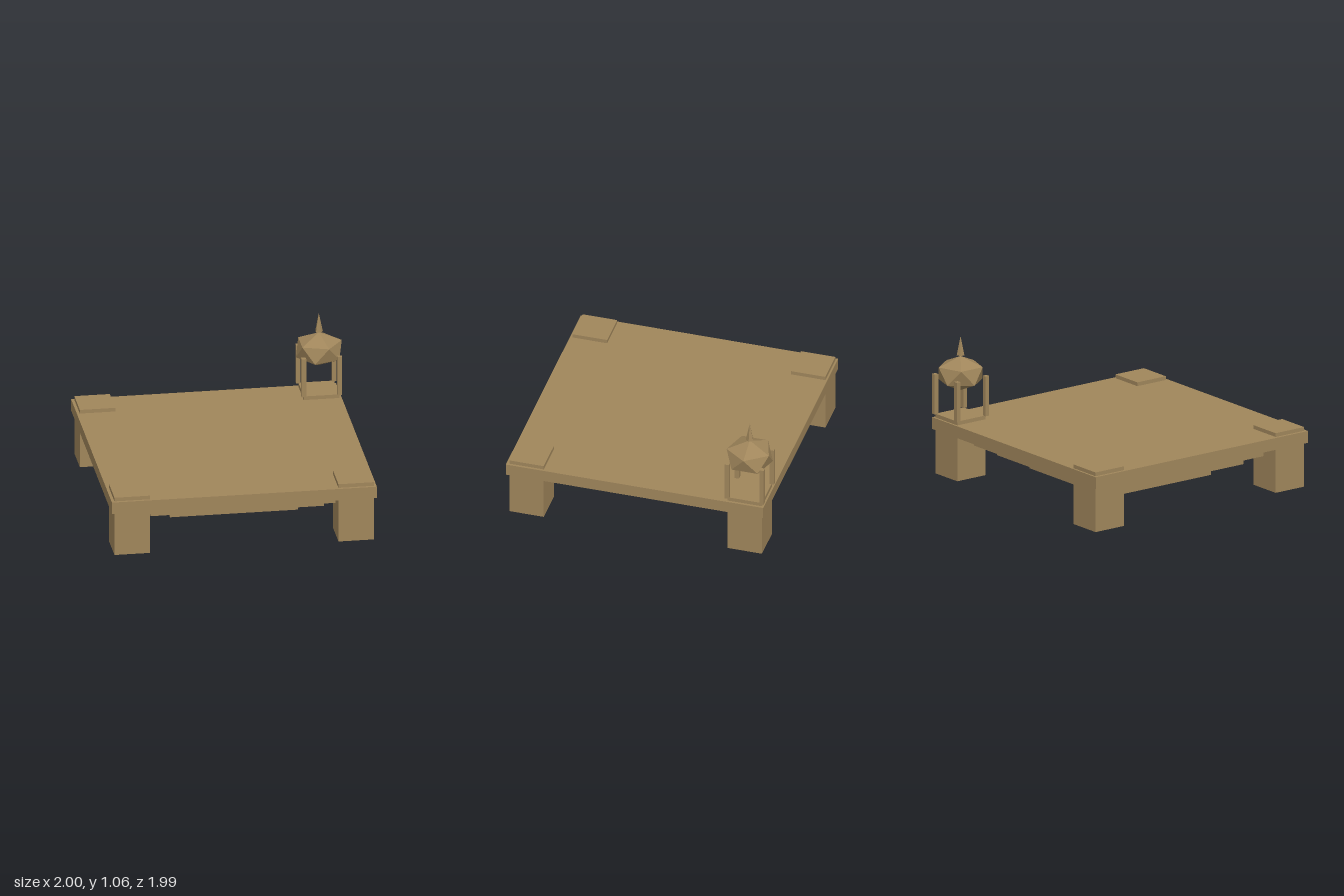
import * as THREE from 'three';
import { ConvexGeometry } from 'three/addons/geometries/ConvexGeometry.js';

export function createModel() {
  const model = new THREE.Group();
  model.name = 'steppedPlatform';
  const stone = new THREE.MeshStandardMaterial({ color: 0xa0865b });
  stone.name = 'sandstone';
  stone.flatShading = true;

  function add(name, geometry, x, y, z) {
    const mesh = new THREE.Mesh(geometry, stone);
    mesh.name = name;
    mesh.position.set(x, y, z);
    model.add(mesh);
  }
  // box given by centre, width, bottom and top
  function block(name, x, z, width, y0, y1) {
    add(name, new THREE.BoxGeometry(width, y1 - y0, width), x, (y0 + y1) / 2, z);
  }

  // deck with three shrinking tiers hanging below it
  const cx = -0.012, cz = 0.005;
  block('deck', cx, cz, 1.979, 0.339, 0.43);
  [1.638, 1.296, 0.955].forEach((width, i) => {
    const top = 0.339 - i * 0.0915;
    block('lowerTier' + (i + 1), cx, cz, width, top - 0.0915, top);
  });

  // corner legs that rise slightly through the deck
  const legX = [-0.847, 0.826], legZ = [-0.837, 0.841];
  for (const x of legX) for (const z of legZ) block('cornerLeg', x, z, 0.265, 0, 0.459);

  // turret: four posts at the corners of one leg
  const tx = legX[1], tz = legZ[0];
  for (const sx of [-1, 1]) for (const sz of [-1, 1]) {
    block('turretPost', tx + sx * 0.134, tz + sz * 0.134, 0.034, 0.459, 0.765);
  }

  // faceted dome: two opposed five-sided rings between two tips
  const points = [new THREE.Vector3(0, 0.131, 0), new THREE.Vector3(0, -0.131, 0)];
  for (let i = 0; i < 10; i++) {
    const a = i * Math.PI / 5;
    points.push(new THREE.Vector3(Math.cos(a) * 0.171, i % 2 ? -0.0586 : 0.0586, Math.sin(a) * 0.171));
  }
  add('turretDome', new ConvexGeometry(points), tx, 0.779, tz);

  // spike above the dome
  add('turretSpike', new THREE.ConeGeometry(0.03, 0.147, 5, 1, false, Math.PI / 2), tx, 0.991, tz);

  return model;
}
